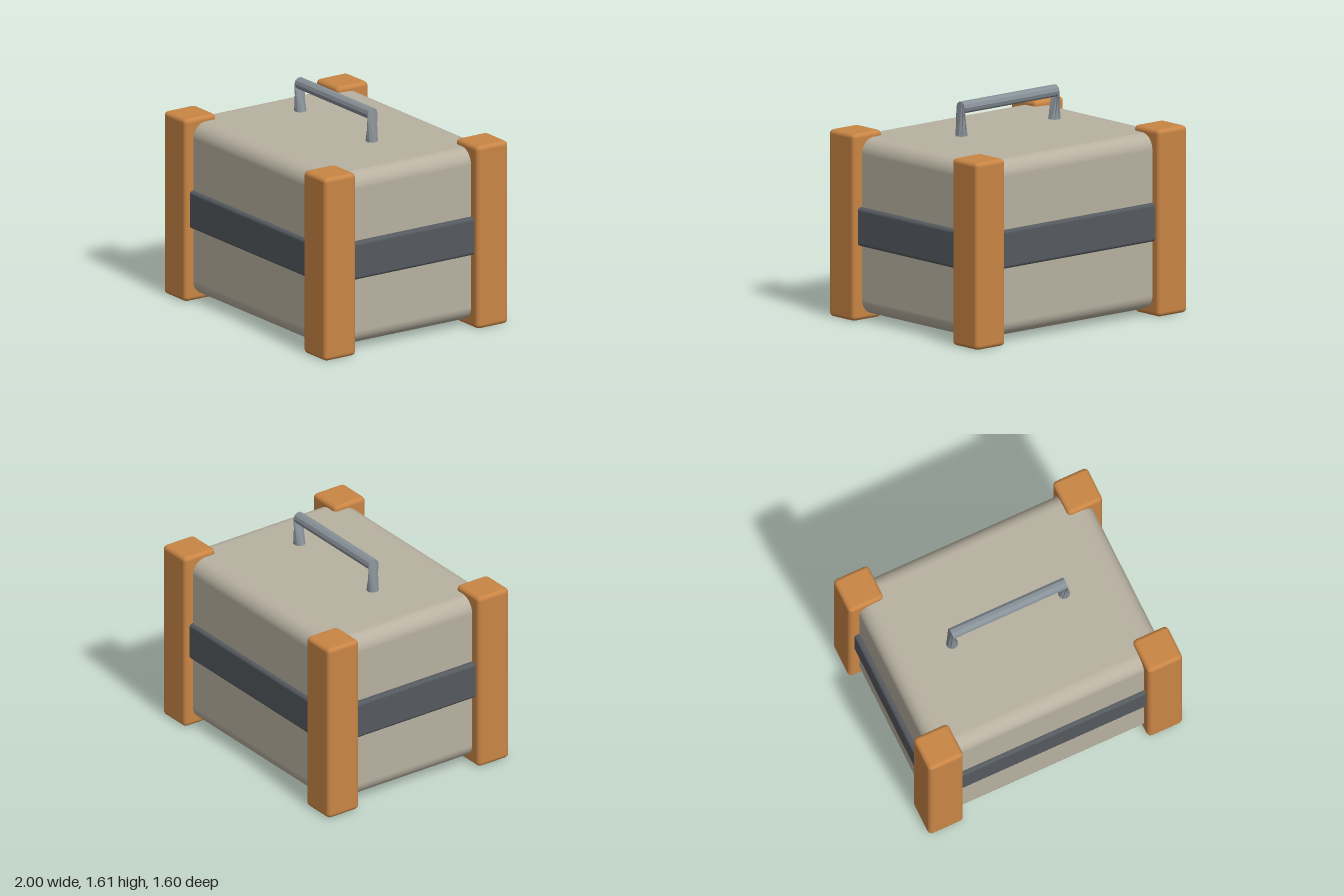
import * as THREE from 'three';
import { RoundedBoxGeometry } from 'three/addons/geometries/RoundedBoxGeometry.js';

const mat = (name, color, flatShading = false) => {
  const m = new THREE.MeshStandardMaterial({ color, flatShading });
  m.name = name;
  return m;
};

// Faceted bar handle: ten-sided rings joined along the path, with end caps
function handleGeometry() {
  const sides = 10, r = 0.044;
  // ring centre (x, y) and in-plane normal (x, y)
  const rings = [
    [-0.44, 1.36, -1, 0],
    [-0.45, 1.564, 0, 1],
    [0.45, 1.564, 0, 1],
    [0.44, 1.36, 1, 0],
  ];
  const pos = [], idx = [];
  for (const [x, y, nx, ny] of rings) {
    for (let j = 0; j < sides; j++) {
      const a = (j / sides) * Math.PI * 2, s = r * Math.sin(a);
      pos.push(x + nx * s, y + ny * s, r * Math.cos(a));
    }
  }
  for (let i = 0; i < rings.length - 1; i++) {
    for (let j = 0; j < sides; j++) {
      const k = (j + 1) % sides, p = i * sides, q = p + sides;
      idx.push(p + j, q + j, q + k, p + j, q + k, p + k);
    }
  }
  const last = (rings.length - 1) * sides;
  for (let j = 1; j < sides - 1; j++) {
    idx.push(0, j, j + 1, last, last + j + 1, last + j);
  }
  const g = new THREE.BufferGeometry();
  g.setAttribute('position', new THREE.Float32BufferAttribute(pos, 3));
  g.setIndex(idx);
  g.computeVertexNormals();
  return g;
}

export function createModel() {
  const group = new THREE.Group();
  group.name = 'crate';
  const shell = mat('warm grey shell', 0xb8b1a1);
  const wood = mat('orange posts', 0xc98545);
  const strap = mat('dark grey band', 0x555a5f);
  const metal = mat('steel handle', 0x889198, true);

  const add = (name, geometry, material, x = 0, y = 0, z = 0) => {
    const mesh = new THREE.Mesh(geometry, material);
    mesh.name = name;
    mesh.position.set(x, y, z);
    group.add(mesh);
  };

  // Softly rounded body
  add('body', new RoundedBoxGeometry(1.84, 1.28, 1.46, 5, 0.11), shell, 0, 0.68, 0);

  // Band around the middle
  add('band', new RoundedBoxGeometry(1.92, 0.28, 1.52, 2, 0.025), strap, 0, 0.685, 0);

  // Four corner posts
  const post = new RoundedBoxGeometry(0.275, 1.36, 0.275, 2, 0.032);
  for (const [sx, side] of [[1, 'Left'], [-1, 'Right']]) {
    for (const [sz, end] of [[1, 'front'], [-1, 'back']]) {
      add(`${end}${side}Post`, post, wood, sx * 0.8625, 0.68, sz * 0.6625);
    }
  }

  // Carrying handle above the lid
  add('handle', handleGeometry(), metal);

  return group;
}
